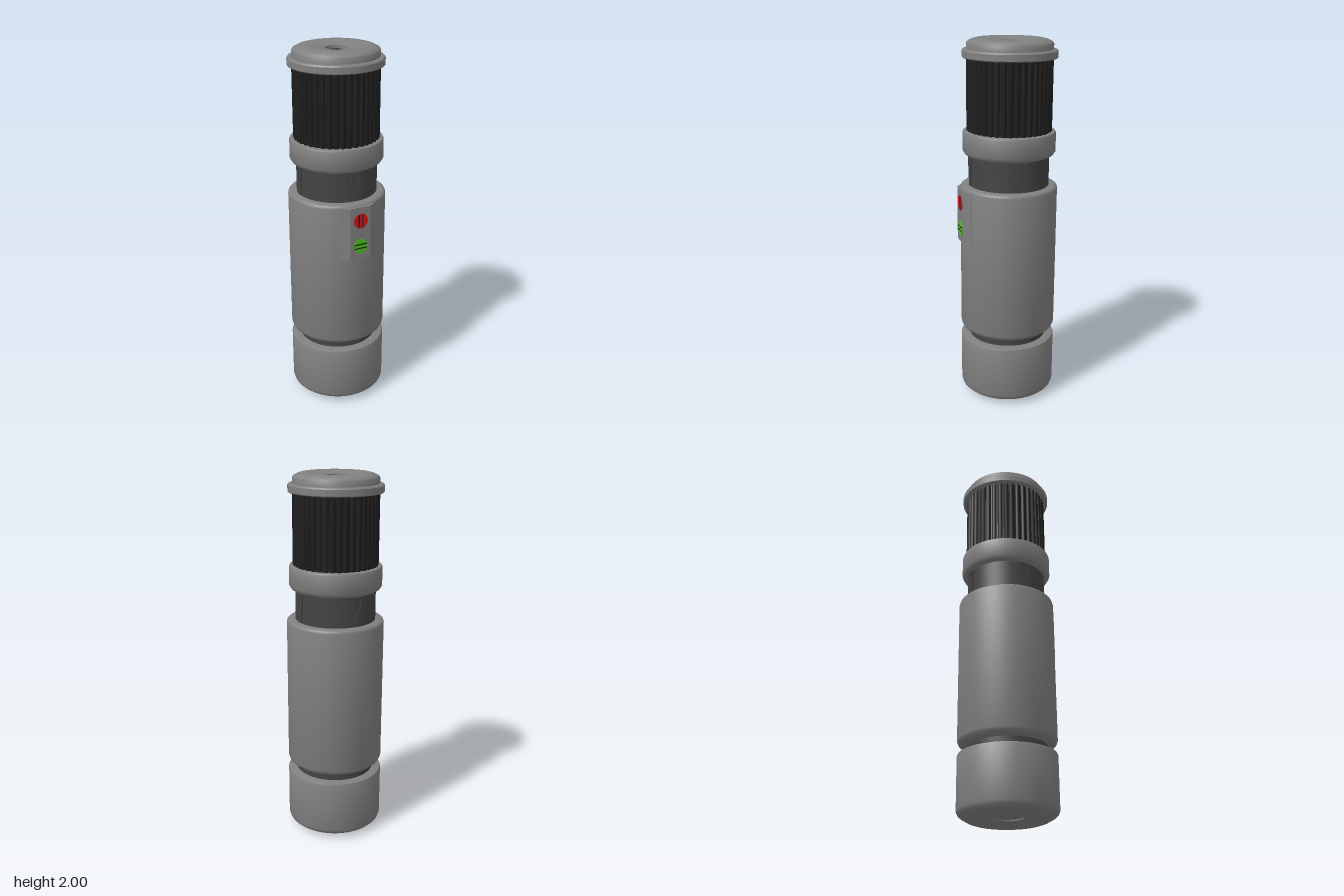
import * as THREE from 'three';
import { toCreasedNormals, mergeGeometries } from 'three/addons/utils/BufferGeometryUtils.js';

const paint = (name, color) => {
  const m = new THREE.MeshStandardMaterial({ color });
  m.name = name;
  return m;
};

export function createModel() {
  const metal = paint('grey metal', 0x808080);
  const darkMetal = paint('dark metal', 0x444444);
  const black = paint('black grip', 0x1c1c1c);
  const red = paint('red button', 0xd01818);
  const green = paint('green button', 0x4cc020);

  const model = new THREE.Group();
  model.name = 'handle';
  // the handle leans back very slightly
  const handle = new THREE.Group();
  handle.name = 'leaningHandle';
  handle.rotation.x = -0.0095;
  handle.position.z = 0.002;
  model.add(handle);

  const add = (name, geometry, material, parent = handle) => {
    const mesh = new THREE.Mesh(geometry, material);
    mesh.name = name;
    parent.add(mesh);
    return mesh;
  };
  // turned part from [radius, height] points, listed from bottom to top
  const turned = (name, points, material) => add(name, toCreasedNormals(
    new THREE.LatheGeometry(points.map(([r, y]) => new THREE.Vector2(r, y)), 64), 0.6), material);

  // pommel with a dished underside
  turned('pommel', [[0, 0.03], [0.08, 0.03], [0.082, 0.022], [0.13, 0.008], [0.15, 0], [0.19, 0], [0.213, 0.008],
    [0.245, 0.026], [0.258, 0.038], [0.264, 0.055], [0.264, 0.335], [0.261, 0.342], [0.25, 0.346], [0.2, 0.346]], metal);
  turned('pommelGroove', [[0.215, 0.34], [0.215, 0.395]], darkMetal);

  // main barrel
  turned('barrel', [[0.2, 0.385], [0.228, 0.385], [0.243, 0.392], [0.258, 0.405], [0.264, 0.42],
    [0.264, 1.205], [0.261, 1.216], [0.254, 1.222], [0.244, 1.225], [0.2, 1.225]], metal);

  // neck with four tapered clips
  turned('neck', [[0.217, 1.22], [0.217, 1.4]], darkMetal);
  const clipShape = new THREE.Shape();
  [[-0.012, 1.228], [0.012, 1.228], [0.016, 1.3], [0.026, 1.345], [0.026, 1.385], [-0.026, 1.385],
    [-0.026, 1.345], [-0.016, 1.3]].forEach(([x, y], i) => (i ? clipShape.lineTo(x, y) : clipShape.moveTo(x, y)));
  const clipHole = new THREE.Path();
  [[-0.008, 1.31], [-0.017, 1.35], [-0.017, 1.375], [0.017, 1.375], [0.017, 1.35], [0.008, 1.31]]
    .forEach(([x, y], i) => (i ? clipHole.lineTo(x, y) : clipHole.moveTo(x, y)));
  clipShape.holes.push(clipHole);
  const clip = new THREE.ExtrudeGeometry(clipShape, { depth: 0.012, bevelEnabled: false });
  clip.translate(0, 0, 0.211);
  for (let i = 0; i < 4; i++) add('neckClip', clip, darkMetal).rotation.y = i * Math.PI / 2;

  // collar under the grip
  turned('collar', [[0.2, 1.388], [0.225, 1.388], [0.24, 1.396], [0.25, 1.412], [0.25, 1.508],
    [0.246, 1.517], [0.236, 1.52], [0.2, 1.52]], metal);

  // ribbed grip
  turned('gripCore', [[0.217, 1.51], [0.217, 1.91]], black);
  const ribs = [];
  for (let i = 0; i < 40; i++) {
    const rib = new THREE.CylinderGeometry(0.0145, 0.0145, 0.4, 8, 1, true);
    rib.translate(0, 1.71, 0.2145);
    rib.rotateY(i * Math.PI / 20);
    ribs.push(rib);
  }
  add('gripRibs', mergeGeometries(ribs), black);

  // flange and dished cap with an opening
  turned('flange', [[0.2, 1.9], [0.247, 1.9], [0.252, 1.905], [0.252, 1.937], [0.246, 1.944], [0.22, 1.946]], metal);
  turned('cap', [[0.228, 1.94], [0.228, 1.974], [0.222, 1.983], [0.2, 1.994], [0.18, 1.999], [0.15, 1.999],
    [0.135, 1.996], [0.09, 1.99], [0.08, 1.987], [0.057, 1.985], [0.057, 1.962]], metal);
  turned('emitterFloor', [[0.058, 1.964], [0, 1.964]], black);

  // cluster of small studs in the opening
  const studs = [];
  for (let row = -4; row <= 4; row++) {
    for (let col = -4; col <= 4; col++) {
      if (Math.abs(row + col) > 4) continue;
      const stud = new THREE.SphereGeometry(0.0052, 8, 6);
      stud.translate((col + row / 2) * 0.0105, 1.967, row * 0.0091);
      studs.push(stud);
    }
  }
  add('emitterStuds', mergeGeometries(studs), black);

  // control box with sloping sides
  const box = new THREE.Shape();
  box.moveTo(-0.105, -0.22);
  box.lineTo(0.105, -0.22);
  box.lineTo(0.105, -0.244);
  box.lineTo(0.06, -0.275);
  box.lineTo(-0.06, -0.275);
  box.lineTo(-0.105, -0.244);
  const boxGeometry = new THREE.ExtrudeGeometry(box, { depth: 0.295, bevelEnabled: false });
  boxGeometry.rotateX(-Math.PI / 2);
  boxGeometry.translate(0, 0.916, 0);
  add('controlBox', boxGeometry, metal);

  // two round buttons with a pair of dark slots each
  const button = (name, y, material, turn) => {
    const group = new THREE.Group();
    group.name = name;
    group.position.set(0, y, 0.275);
    group.rotation.z = turn;
    handle.add(group);
    const disc = new THREE.CylinderGeometry(0.041, 0.041, 0.006, 24);
    disc.rotateX(Math.PI / 2);
    add(name + 'Face', disc, material, group);
    for (const s of [-1, 1]) {
      const slot = add(name + 'Slot', new THREE.BoxGeometry(0.074, 0.006, 0.003), black, group);
      slot.position.set(0, s * 0.011, 0.0025);
    }
  };
  button('redButton', 1.135, red, Math.PI / 2);
  button('greenButton', 0.99, green, 0);

  return model;
}
